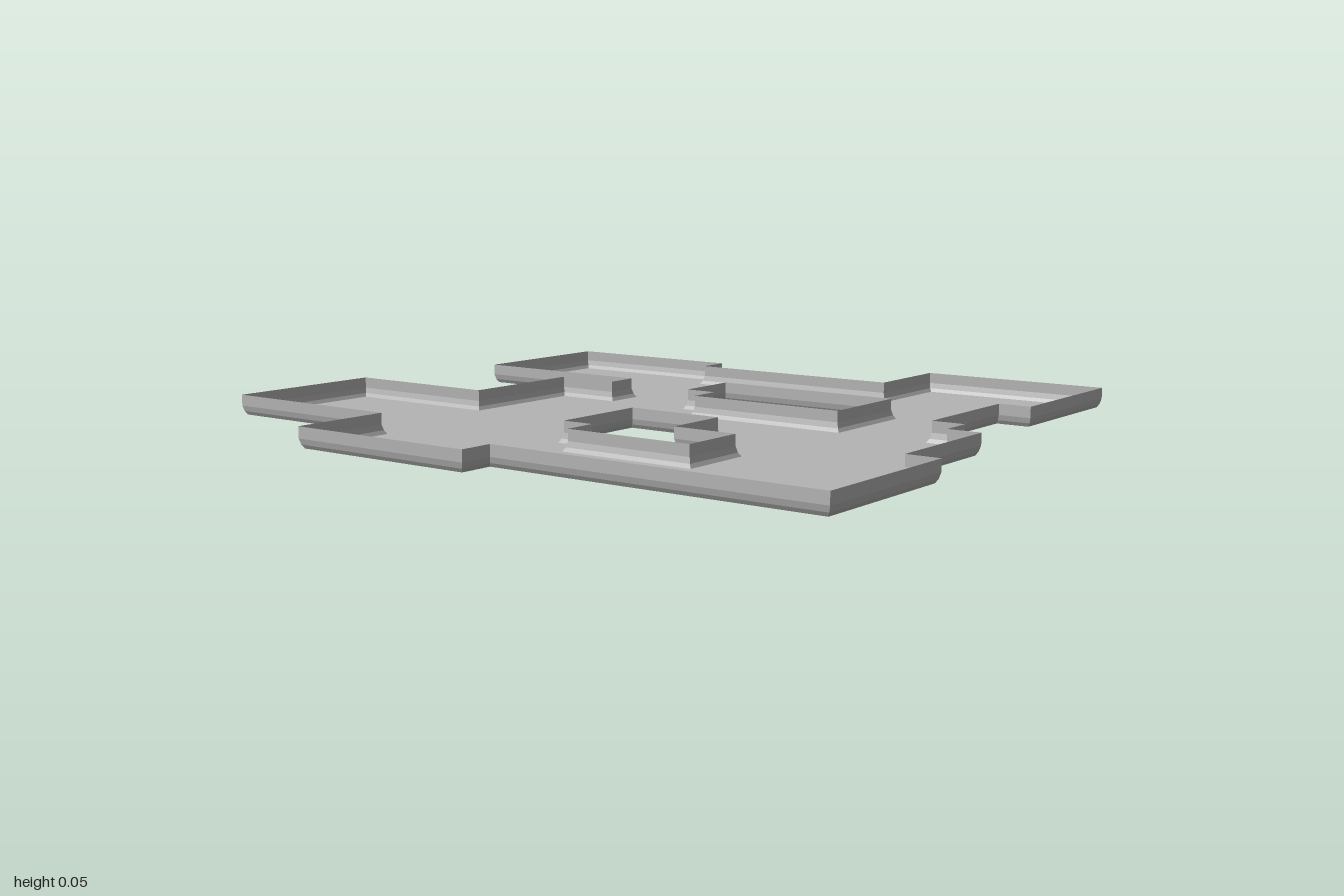
import * as THREE from 'three';

const U = 1 / 11; // plan grid step
const HEIGHT = 0.055;

// Plan outlines in grid steps (x, z); material lies on the right of travel
const OUTLINE = [
  [-7, -11], [-2, -11], [-2, -6], [2, -6], [2, -4], [3, -4], [3, -10], [8, -10], [8, -4],
  [7, -4], [7, 3], [10, 3], [10, 9], [5, 9], [5, 8], [1, 8], [1, 9], [0, 9], [0, 10],
  [-4, 10], [-4, 11], [-9, 11], [-9, 1], [-10, 1], [-10, -5], [-7, -5],
];
const HOLES = [
  [[-5, 0], [-2, 0], [-2, 3], [-4, 3], [-4, 5], [-6, 5], [-6, 1], [-5, 1]].reverse(),
  [[2, -1], [4, -1], [4, 5], [1, 5], [1, 0], [2, 0]].reverse(),
];

// Wall section from rim to floor: [inset, height]
const SECTION = [[0, HEIGHT], [0, 0.025], [0.004, 0.01], [0.01, 0]];

// Moves a right-angled loop towards the material by a distance
function insetLoop(loop, d) {
  const n = loop.length;
  const normal = (a, b) => [-Math.sign(b[1] - a[1]), Math.sign(b[0] - a[0])];
  return loop.map((p, i) => {
    const n1 = normal(loop[(i + n - 1) % n], p);
    const n2 = normal(p, loop[(i + 1) % n]);
    return [p[0] * U + d * (n1[0] + n2[0]), p[1] * U + d * (n1[1] + n2[1])];
  });
}

// Skins the wall section around a loop with flat faces
function wallGeometry(loop) {
  const rings = SECTION.map(([d, y]) => insetLoop(loop, d).map(([x, z]) => [x, y, z]));
  const pos = [];
  for (let r = 0; r < rings.length - 1; r++) {
    for (let i = 0; i < loop.length; i++) {
      const j = (i + 1) % loop.length;
      const a = rings[r][i], b = rings[r][j], c = rings[r + 1][j], d = rings[r + 1][i];
      pos.push(...a, ...b, ...c, ...a, ...c, ...d);
    }
  }
  const geo = new THREE.BufferGeometry();
  geo.setAttribute('position', new THREE.Float32BufferAttribute(pos, 3));
  geo.computeVertexNormals();
  return geo;
}

export function createModel() {
  const group = new THREE.Group();
  group.name = 'floorTray';
  const grey = new THREE.MeshStandardMaterial({ color: 0xb4b4b4, side: THREE.DoubleSide });
  grey.name = 'grey';

  const add = (name, geo) => {
    const mesh = new THREE.Mesh(geo, grey);
    mesh.name = name;
    group.add(mesh);
  };

  // Floor sheet with two openings
  const base = SECTION[SECTION.length - 1][0];
  const points = (loop) => insetLoop(loop, base).map(([x, z]) => new THREE.Vector2(x, -z));
  const shape = new THREE.Shape(points(OUTLINE));
  HOLES.forEach((h) => shape.holes.push(new THREE.Path(points(h))));
  add('floor', new THREE.ShapeGeometry(shape).rotateX(-Math.PI / 2));

  // Thin upright walls with a rounded foot
  add('outerWall', wallGeometry(OUTLINE));
  HOLES.forEach((h, i) => add(['leftOpeningWall', 'rightOpeningWall'][1 - i], wallGeometry(h)));

  return group;
}
